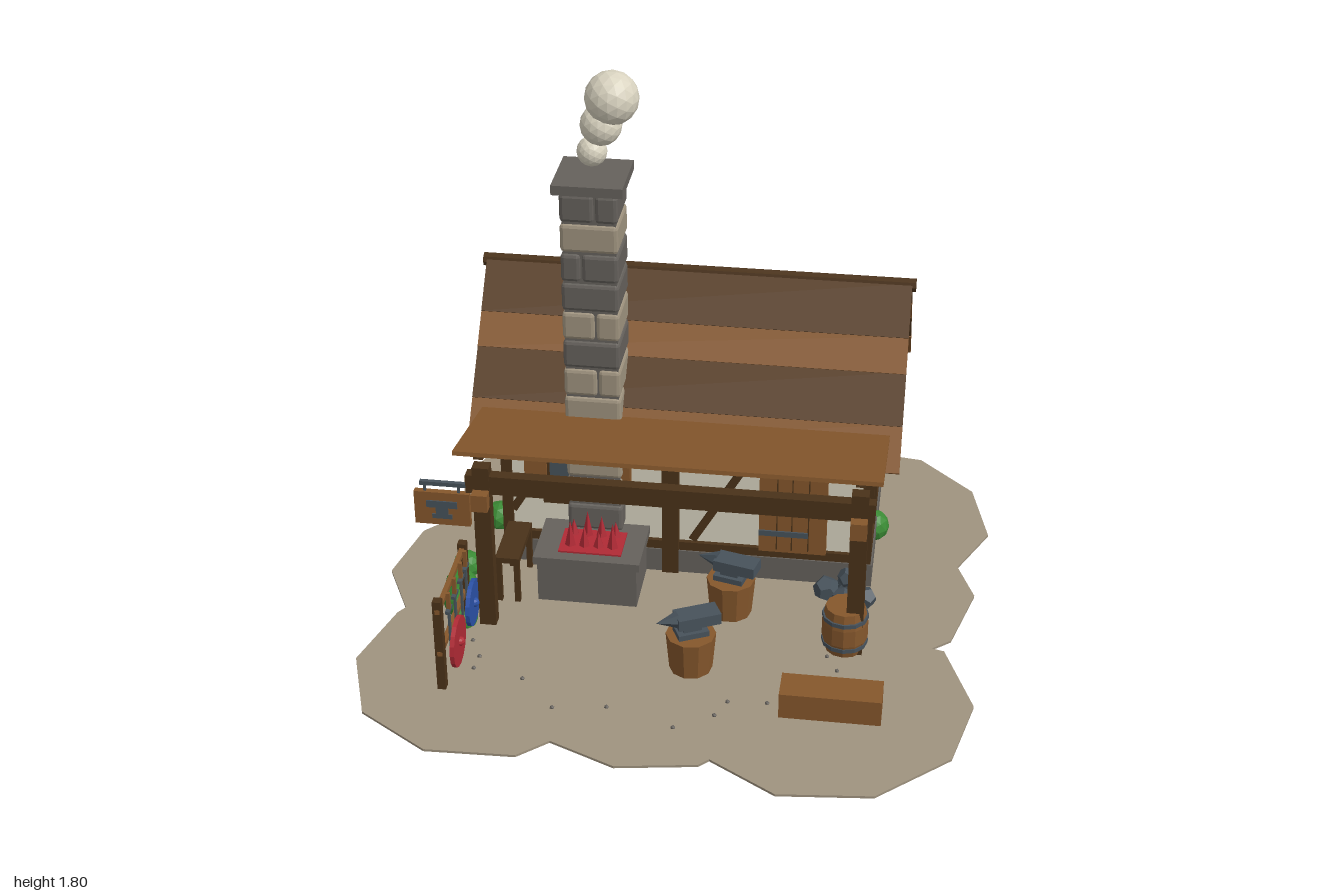
import * as THREE from 'three';
import { RoundedBoxGeometry } from 'three/addons/geometries/RoundedBoxGeometry.js';

export function createModel() {
  const model = new THREE.Group();
  model.name = 'smithy';
  const mat = (name, color, flatShading = true) => new THREE.MeshStandardMaterial({ name, color, flatShading });
  const timber = mat('timber', 0x4a3219), roofDark = mat('dark shingle', 0x573b1f), wood = mat('warm wood', 0x85572c);
  const plaster = mat('plaster', 0xd9d3c0), stoneDark = mat('dark stone', 0x65615c), sand = mat('sandstone', 0x9f937f);
  const iron = mat('iron', 0x47525b), red = mat('red', 0xb02a35), blue = mat('blue', 0x2b51a6), green = mat('leaf green', 0x3a8a34);
  const V = (x, y, z) => new THREE.Vector3(x, y, z);

  function add(name, geo, m, x = 0, y = 0, z = 0, parent = model) {
    const mesh = new THREE.Mesh(geo, m);
    mesh.name = name;
    mesh.position.set(x, y, z);
    parent.add(mesh);
    return mesh;
  }
  // Box from its minimum and maximum on each axis
  const span = (name, m, x0, x1, y0, y1, z0, z1, parent) =>
    add(name, new THREE.BoxGeometry(x1 - x0, y1 - y0, z1 - z0), m, (x0 + x1) / 2, (y0 + y1) / 2, (z0 + z1) / 2, parent);
  // Squared beam between two points
  function rod(name, m, a, b, sx, sz, parent) {
    const d = b.clone().sub(a);
    const c = a.clone().add(b).multiplyScalar(0.5);
    const mesh = add(name, new THREE.BoxGeometry(sx, d.length(), sz), m, c.x, c.y, c.z, parent);
    mesh.quaternion.setFromUnitVectors(V(0, 1, 0), d.normalize());
    return mesh;
  }

  // Ground plate with a scalloped edge
  const edge = [[-.8, -.83], [-.59, -.97], [-.33, -.96], [-.24, -.89], [-.08, -.99], [.2, -.97], [.31, -.88], [.47, -.97],
    [.75, -.93], [.94, -.74], [1, -.47], [.9, -.26], [.96, -.1], [.89, .16], [.83, .21], [.87, .22], [.97, .49], [.91, .75],
    [.69, .95], [.4, .98], [.19, .85], [.16, .88], [-.09, .92], [-.3, .83], [-.39, .91], [-.67, .92], [-.9, .77], [-.99, .51],
    [-.92, .25], [-.9, .22], [-1, .02], [-.95, -.23], [-.83, -.36], [-.89, -.59]];
  const ground = new THREE.ExtrudeGeometry(new THREE.Shape(edge.map(([x, z]) => new THREE.Vector2(x, -z))), { depth: 0.008, bevelEnabled: false });
  ground.rotateX(-Math.PI / 2);
  add('ground', ground, sand, 0, 0.036, 0);

  // House body: foundation and gabled plaster walls
  const X0 = -0.635, X1 = 0.61, ZF = -0.11, ZB = -0.75, ZM = -0.43;
  span('foundation', stoneDark, X0 - .005, X1 + .005, .033, .13, ZB - .005, ZF + .005);
  const section = [[.125, .1], [.735, .1], [.735, .65], [.43, 1], [.125, .65]];
  const walls = new THREE.ExtrudeGeometry(new THREE.Shape(section.map(p => new THREE.Vector2(...p))), { depth: X1 - X0 - .03, bevelEnabled: false });
  walls.rotateY(Math.PI / 2);
  add('plasterWalls', walls, plaster, X0 + .015, 0, 0);

  // Timber frame
  for (const [y0, y1] of [[.127, .162], [.608, .642]]) {
    for (const z of [ZF, ZB + .035]) span('wallBeam', timber, X0, X1, y0, y1, z - .035, z);
    for (const x of [X0, X1 - .035]) span('gableBeam', timber, x, x + .035, y0, y1, ZB, ZF);
  }
  for (const x of [X0, X1 - .035])
    for (const z of [ZB, ZM - .015, ZF - .035]) span('wallPost', timber, x, x + .035, .13, .64, z, z + .035);
  for (const x of [.44, .2, -.06, -.33]) span('backPost', timber, x - .015, x + .015, .13, .63, ZB, ZB + .03);
  for (const [xt, xb] of [[.42, .22], [-.35, -.59]])
    rod('backBrace', timber, V(xt, .61, ZB + .015), V(xb, .16, ZB + .015), .03, .02);
  span('frontPost', timber, -.09, -.035, .04, .62, ZF - .03, ZF + .015);
  rod('frontBrace', timber, V(.01, .17, ZF - .015), V(.24, .57, ZF - .015), .026, .02);
  rod('frontBrace', timber, V(-.6, .24, ZF - .015), V(-.4, .58, ZF - .015), .026, .02);

  // Door with strap hinges and knob
  span('door', wood, .235, .46, .16, .57, ZF - .02, ZF + .012);
  for (const x of [.295, .345, .4]) span('doorSeam', timber, x - .002, x + .002, .17, .56, ZF + .01, ZF + .014);
  for (const y of [.235, .475]) span('doorHinge', iron, .235, .4, y - .01, y + .01, ZF + .01, ZF + .018);
  add('doorKnob', new THREE.SphereGeometry(.013, 8, 6), iron, .425, .335, ZF + .02);

  // Window and shutters
  span('windowFrame', timber, -.49, -.25, .29, .51, ZF - .02, ZF + .015);
  span('windowPane', iron, -.465, -.275, .315, .485, ZF + .01, ZF + .019);
  for (const x of [-.55, -.27]) span('shutter', wood, x, x + .075, .325, .48, ZF - .01, ZF + .025);

  // Main roof: four overlapping courses each side, barge boards and ridge
  const steps = [0, .28, .47, .745, 1];
  for (const s of [1, -1]) {
    const at = (t, lift, x = -.015) => V(x, 1.02 - .47 * t + lift * .66, ZM + s * (.41 * t + lift * .75));
    for (let i = 0; i < 4; i++)
      rod('roofCourse', i % 2 ? wood : roofDark, at(steps[i], .012 - i * .004), at(Math.min(1, steps[i + 1] + .012), .012 - i * .004), 1.41, .016);
    for (const x of [-.69, X0 + .01, X1 - .01, .66]) rod('bargeBoard', timber, at(0, -.012, x), at(.99, -.012, x), .025, .022);
  }
  const ridge = new THREE.CylinderGeometry(.023, .023, 1.435, 8);
  ridge.rotateZ(Math.PI / 2);
  add('ridgePole', ridge, timber, -.015, 1.02, ZM);

  // Porch: lean-to roof, beam, posts and brackets
  rod('porchRoof', wood, V(-.016, .725, .325), V(-.016, .618, -.2), 1.335, .014);
  for (const x of [-.61, .582]) {
    span('porchPost', timber, x - .027, x + .027, .036, .645, .235, .277);
    span('porchBracket', wood, x - .026, x + .026, .505, .565, .275, .313);
    rod('porchRafter', timber, V(x, .7, .29), V(x, .61, -.15), .03, .025);
  }
  span('porchBeam', timber, -.66, .63, .55, .615, .237, .275);

  // Chimney of alternating stone rows
  const CX = -.31, CZ = -.157;
  span('chimneyCore', stoneDark, CX - .085, CX + .085, .1, 1.45, CZ - .085, CZ + .085);
  const rows = 'DLDDLDLLDLLD', splits = [.6, 0, .36, 0, .58, 0, .6, 0, .4, 0, .6, 0];
  [...rows].forEach((r, i) => {
    const y = 1.398 - i * .103, m = r === 'D' ? stoneDark : sand;
    const parts = splits[i] ? [[0, splits[i]], [splits[i], 1]] : [[0, 1]];
    for (const [a, b] of parts)
      add('chimneyStone', new RoundedBoxGeometry((b - a) * .188 - .004, .096, .19, 1, .012), m, CX - .094 + .094 * (a + b), y, CZ);
  });
  span('chimneyCap', stoneDark, CX - .112, CX + .112, 1.45, 1.482, CZ - .112, CZ + .112);
  for (const [x, y, r] of [[-.31, 1.555, .048], [-.28, 1.645, .066], [-.245, 1.735, .085]])
    add('smokePuff', new THREE.IcosahedronGeometry(r, 2), plaster, x, y, CZ);

  // Forge with embers and flames
  span('forge', stoneDark, -.475, -.145, .033, .2, -.11, .115);
  span('forgeRim', stoneDark, -.487, -.133, .19, .218, -.11, .125);
  span('emberBed', red, -.41, -.2, .21, .224, -.05, .085);
  for (let i = 0; i < 8; i++) {
    const h = .06 + .035 * ((i * 5) % 3) / 2;
    add('flame', new THREE.ConeGeometry(.02, h, 5), red, -.375 + .047 * (i % 4), .22 + h / 2, -.025 + .065 * Math.floor(i / 4));
  }

  // Anvils on stumps
  function anvil(x, z, turn) {
    const g = new THREE.Group();
    g.name = 'anvilOnStump';
    g.position.set(x, 0, z);
    g.rotation.y = turn;
    model.add(g);
    add('stump', new THREE.CylinderGeometry(.08, .068, .14, 10), wood, 0, .104, 0, g);
    span('anvilFoot', iron, -.05, .05, .174, .193, -.035, .035, g);
    span('anvilWaist', iron, -.03, .03, .19, .215, -.022, .022, g);
    span('anvilFace', iron, -.05, .09, .212, .25, -.035, .035, g);
    const horn = new THREE.ConeGeometry(.028, .07, 6);
    horn.rotateZ(Math.PI / 2);
    add('anvilHorn', horn, iron, -.08, .235, 0, g);
  }
  anvil(.075, .405, .45);
  anvil(.165, .09, -.25);

  // Barrel with hoops
  const barrel = [[0, .033], [.06, .033], [.074, .09], [.074, .15], [.064, .205], [0, .205]];
  add('barrel', new THREE.LatheGeometry(barrel.map(p => new THREE.Vector2(...p)), 12), wood, .55, 0, .235);
  for (const y of [.075, .17]) add('barrelHoop', new THREE.CylinderGeometry(.075, .075, .014, 12), iron, .55, y, .235);

  // Crate and workbench
  span('crate', wood, .375, .69, .034, .132, .515, .625);
  span('benchTop', timber, -.61, -.53, .195, .215, -.08, .14);
  for (const x of [-.6, -.54]) for (const z of [-.07, .13]) span('benchLeg', timber, x - .009, x + .009, .04, .2, z - .009, z + .009);

  // Hanging sign with an anvil outline
  span('signBar', iron, -.815, -.63, .553, .567, .24, .254);
  for (const x of [-.8, -.69]) span('signLink', iron, x - .004, x + .004, .52, .56, .243, .251);
  span('signBoard', wood, -.835, -.655, .41, .53, .237, .257);
  for (const z of [.233, .257])
    for (const [w, y0, y1] of [[.1, .475, .5], [.04, .45, .476], [.065, .435, .451]])
      span('signAnvil', iron, -.745 - w / 2, -.745 + w / 2, y0, y1, z, z + .004);

  // Weapon rack with tools and shields
  for (const z of [.615, .275]) span('rackPost', timber, -.695, -.668, .036, z > .5 ? .375 : .36, z - .014, z + .014);
  for (const y of [.18, .338]) span('rackRail', wood, -.688, -.672, y - .008, y + .008, .26, .63);
  for (const z of [.56, .48, .395, .33]) {
    span('blade', iron, -.664, -.658, .16, .3, z - .008, z + .008);
    span('guard', iron, -.668, -.654, .298, .308, z - .022, z + .022);
    span('grip', wood, -.667, -.655, .305, .365, z - .006, z + .006);
  }
  for (const [m, z, r] of [[red, .535, .083], [blue, .325, .078]]) {
    const disc = new THREE.CylinderGeometry(r, r, .014, 16);
    disc.rotateZ(Math.PI / 2);
    add('shield', disc, m, -.645, .165, z);
    add('shieldBoss', new THREE.SphereGeometry(.016, 8, 6), m, -.638, .165, z);
  }

  // Ore heap, pebbles and bushes
  for (const [x, y, z, r] of [[.47, .07, -.04, .045], [.55, .075, -.06, .05], [.6, .065, -.01, .04], [.53, .065, .01, .04], [.54, .12, -.04, .035]])
    add('oreLump', new THREE.DodecahedronGeometry(r), iron, x, y, z).rotation.set(x * 9, z * 7, 0);
  for (let i = 0; i < 14; i++) {
    const a = i * 2.4, d = .5 + .25 * ((i * 7) % 5) / 5;
    add('pebble', new THREE.IcosahedronGeometry(.008), stoneDark, Math.cos(a) * d, .045, .3 + Math.abs(Math.sin(a)) * d * .6);
  }
  for (const [x, y, z, r] of [[-.745, .065, -.02, .05], [-.73, .09, .13, .055], [-.715, .075, .2, .06], [-.69, .06, .27, .045],
    [-.695, .07, -.32, .055], [.6, .08, -.425, .058], [-.13, .085, -.77, .062]])
    add('bush', new THREE.IcosahedronGeometry(r, 1), green, x, y, z).rotation.y = x * 5 + z;

  return model;
}
